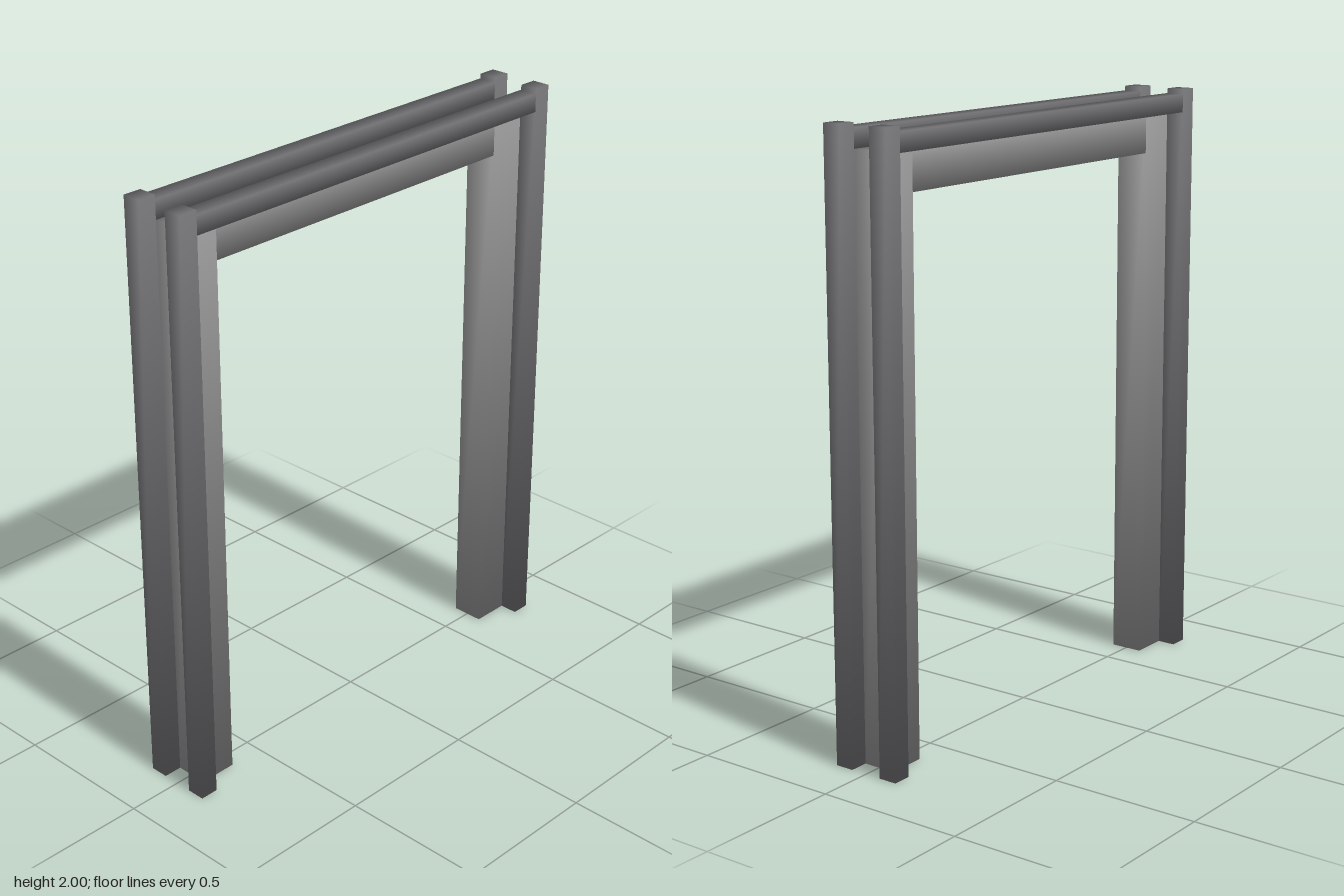
import * as THREE from 'three';

const frameMaterial = new THREE.MeshStandardMaterial({ color: 0x969696 });
const trimMaterial = new THREE.MeshStandardMaterial({ color: 0x737376 });

// Box given by its limits, with normals pointing out through the corners so it shades softly
function softBox(name, material, [x0, x1], [y0, y1], [z0, z1]) {
  const geometry = new THREE.BoxGeometry(x1 - x0, y1 - y0, z1 - z0);
  const { position, normal } = geometry.attributes;
  const s = 1 / Math.sqrt(3);
  for (let i = 0; i < position.count; i++) {
    normal.setXYZ(i, s * Math.sign(position.getX(i)), s * Math.sign(position.getY(i)), s * Math.sign(position.getZ(i)));
  }
  const mesh = new THREE.Mesh(geometry, material);
  mesh.name = name;
  mesh.position.set((x0 + x1) / 2, (y0 + y1) / 2, (z0 + z1) / 2);
  return mesh;
}

// Range mirrored to the negative side when side is -1
const mirror = (side, a, b) => (side > 0 ? [a, b] : [-b, -a]);

export function createModel() {
  const group = new THREE.Group();
  group.name = 'doorFrame';

  const outer = 0.813, trimInner = 0.75, opening = 0.62;
  const jambTop = 1.922, headBottom = 1.79, trimTop = 1.984;
  const depth = 0.056, trimDepth = 0.119;

  // Head of the frame
  group.add(softBox('head', frameMaterial, [-opening, opening], [headBottom, jambTop], [-depth, depth]));

  for (const side of [1, -1]) {
    const sideName = side > 0 ? 'left' : 'right';
    // Jambs on either side of the opening
    group.add(softBox(sideName + 'Jamb', frameMaterial,
      mirror(side, opening, trimInner), [0, jambTop], [-depth, depth]));

    // Upright trim strips at the front and back outer corners
    for (const face of [1, -1]) {
      const faceName = face > 0 ? 'Front' : 'Back';
      group.add(softBox(sideName + faceName + 'Trim', trimMaterial,
        mirror(side, trimInner, outer), [0, 2], mirror(face, depth, trimDepth)));
    }
  }

  // Horizontal trim strips between the uprights
  for (const face of [1, -1]) {
    group.add(softBox(face > 0 ? 'frontTopTrim' : 'backTopTrim', trimMaterial,
      [-trimInner, trimInner], [jambTop, trimTop], mirror(face, depth, trimDepth)));
  }

  return group;
}
